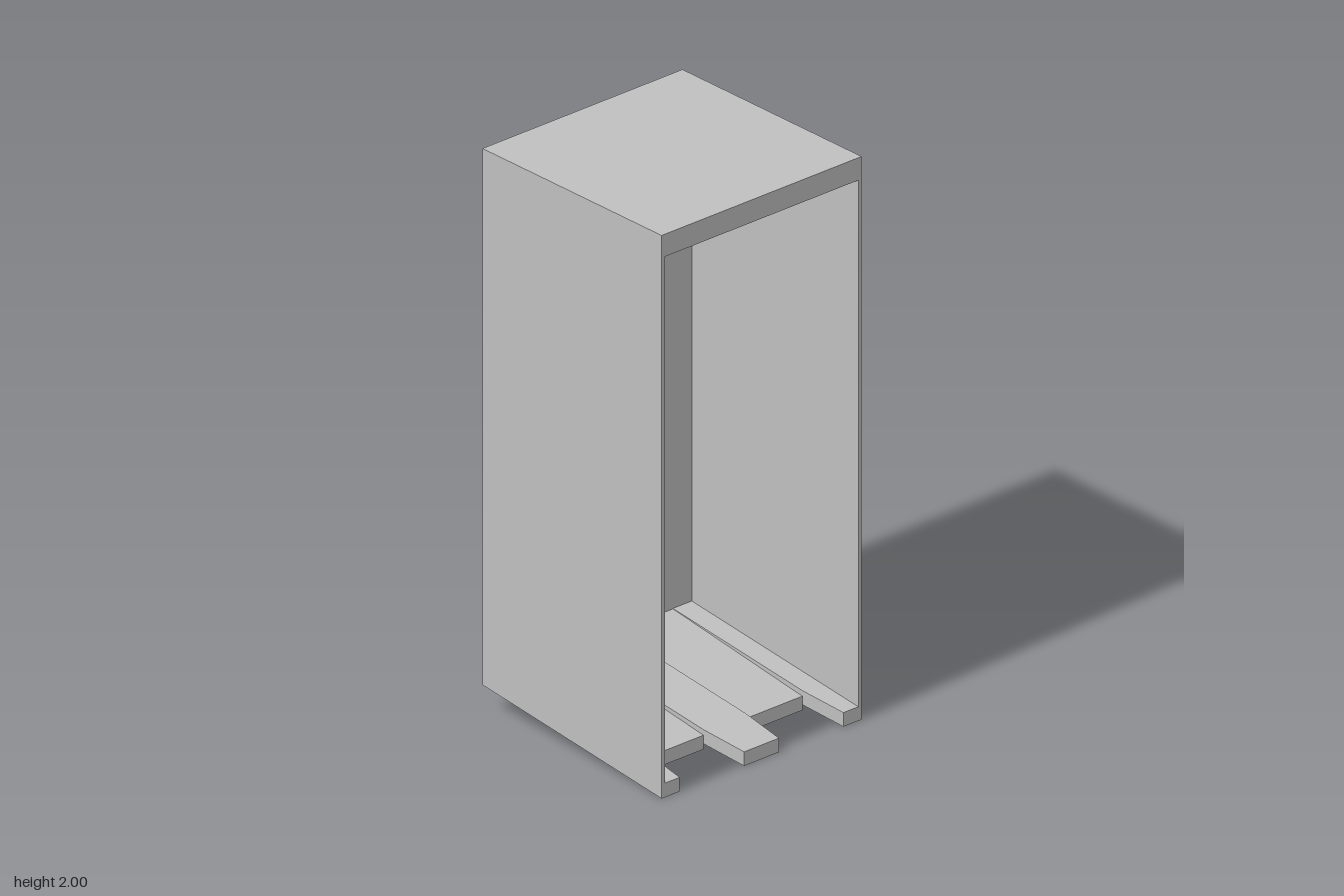
import * as THREE from 'three';

const HALF_W = 0.43, HALF_D = 0.427, WALL = 0.014, BACK = 0.06;
const RISE = 0.095, FLOOR = 0.05, NOTCH_Z = 0.25;

export function createModel() {
  const group = new THREE.Group();
  const grey = new THREE.MeshStandardMaterial({ color: 0xc0c0c0 });
  grey.name = 'grey';

  const add = (name, geometry, x = 0, y = 0, z = 0) => {
    const mesh = new THREE.Mesh(geometry, grey);
    mesh.name = name;
    mesh.position.set(x, y, z);
    group.add(mesh);
  };

  // Floor slab from a plan of [x, z] points, rising from y = 0 at frontZ to RISE at the back
  const slopedSlab = (plan, frontZ) => {
    const shape = new THREE.Shape(plan.map(([x, z]) => new THREE.Vector2(x, -z)));
    const geometry = new THREE.ExtrudeGeometry(shape, { depth: FLOOR, bevelEnabled: false });
    geometry.rotateX(-Math.PI / 2);
    const p = geometry.attributes.position;
    for (let i = 0; i < p.count; i++) {
      p.setY(i, p.getY(i) + RISE * (frontZ - p.getZ(i)) / (frontZ + HALF_D));
    }
    geometry.computeVertexNormals();
    return geometry;
  };

  // Side walls with a slanted lower edge
  const profile = new THREE.Shape([
    [HALF_D, 0], [HALF_D, 2], [-HALF_D, 2], [-HALF_D, RISE],
  ].map(([z, y]) => new THREE.Vector2(z, y)));
  const wall = new THREE.ExtrudeGeometry(profile, { depth: WALL, bevelEnabled: false });
  wall.rotateY(-Math.PI / 2);
  add('leftWall', wall, HALF_W);
  add('rightWall', wall, -HALF_W + WALL);

  // Roof and back wall
  const inner = HALF_W - WALL;
  add('roof', new THREE.BoxGeometry(inner * 2, 0.08, HALF_D * 2), 0, 1.96, 0);
  const backHeight = 1.92 - RISE;
  add('backWall', new THREE.BoxGeometry(inner * 2, backHeight, BACK),
    0, RISE + backHeight / 2, -HALF_D + BACK / 2);

  // Middle floor tongue, narrowing towards the front
  add('middleTongue', slopedSlab([
    [-0.075, HALF_D], [0.075, HALF_D], [0.09, NOTCH_Z],
    [0.09, -HALF_D], [-0.09, -HALF_D], [-0.09, NOTCH_Z],
  ], HALF_D));

  // Mirrored outer tongues and the lower, set-back panels between them
  for (const [side, s] of [['left', 1], ['right', -1]]) {
    add(side + 'Tongue', slopedSlab([
      [s * inner, HALF_D], [s * 0.352, HALF_D], [s * 0.335, NOTCH_Z],
      [s * 0.335, -HALF_D], [s * inner, -HALF_D],
    ], HALF_D));
    add(side + 'FloorPanel', slopedSlab([
      [s * 0.09, NOTCH_Z], [s * 0.335, NOTCH_Z],
      [s * 0.335, -HALF_D], [s * 0.09, -HALF_D],
    ], NOTCH_Z));
  }
  return group;
}
